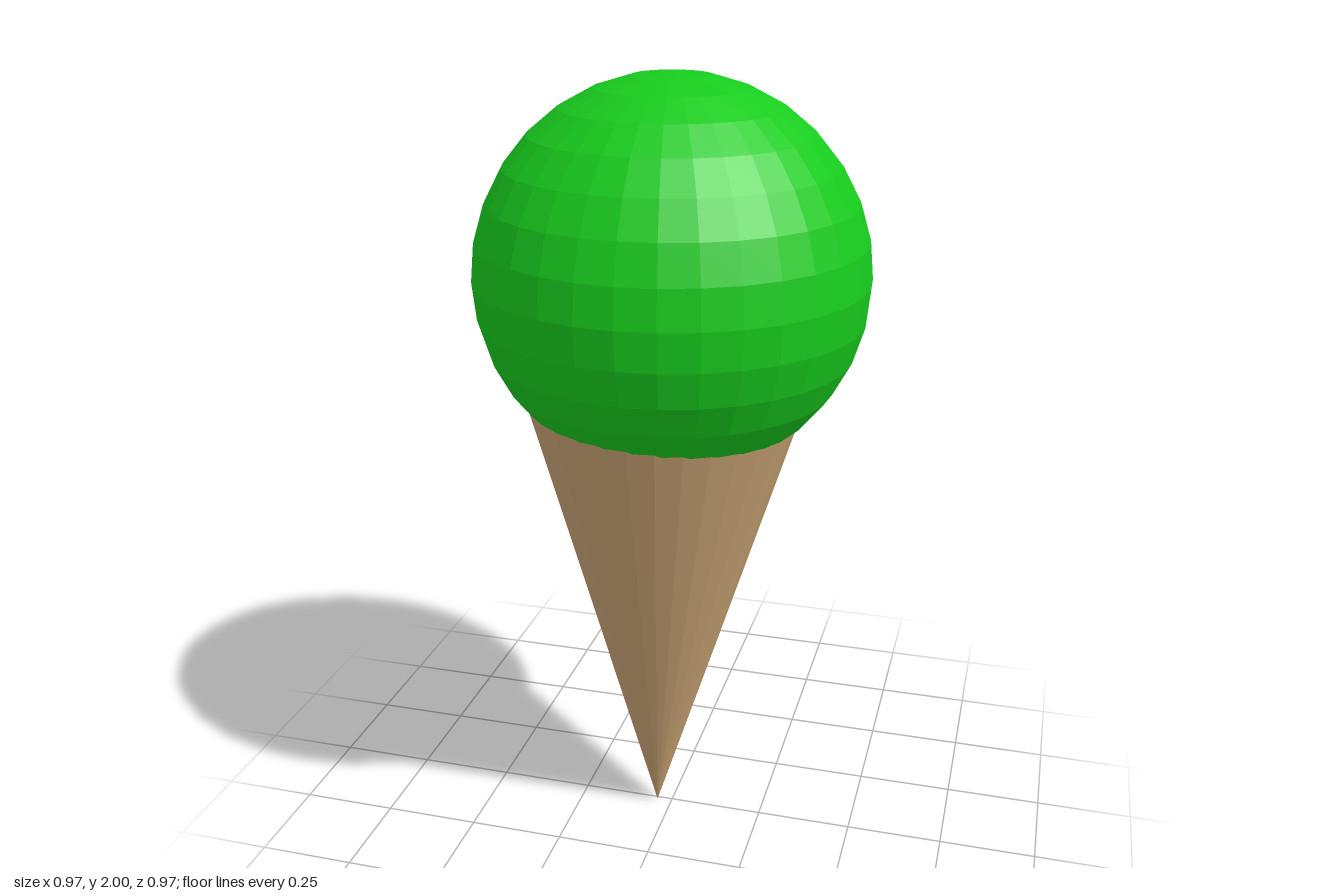
import * as THREE from 'three';

function part(name, geometry, color) {
  const material = new THREE.MeshStandardMaterial({ color, flatShading: true });
  const mesh = new THREE.Mesh(geometry, material);
  mesh.name = name;
  return mesh;
}

export function createModel() {
  const model = new THREE.Group();
  model.name = 'iceCreamCone';

  // Faceted scoop
  const scoop = part('scoop', new THREE.SphereGeometry(0.485, 32, 16), 0x18cc1e);
  scoop.position.y = 1.515;
  model.add(scoop);

  // Wafer cone: tip moved to the origin and pointing down, then leaned slightly to +x
  const height = 1.3;
  const coneGeometry = new THREE.ConeGeometry(height * 0.29, height, 32);
  coneGeometry.rotateX(Math.PI).translate(0, height / 2, 0);
  const cone = part('cone', coneGeometry, 0xc8a273);
  cone.position.set(-0.04, 0, 0.01);
  cone.rotation.z = -0.02;
  model.add(cone);

  return model;
}
